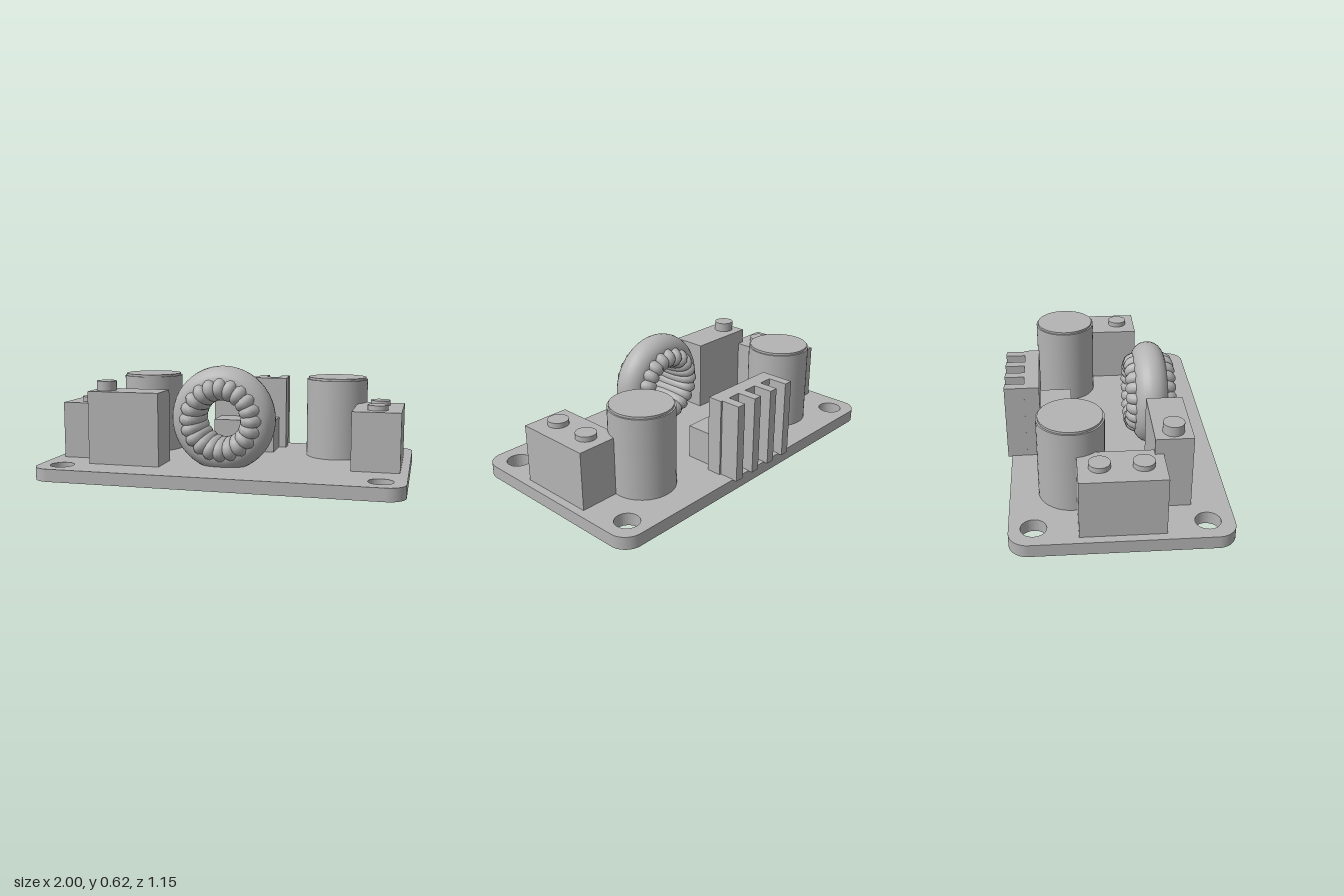
import * as THREE from 'three';

export function createModel() {
  const model = new THREE.Group();
  const grey = new THREE.MeshStandardMaterial({ color: 0xb4b4b4 });
  grey.name = 'light grey';

  const add = (name, geometry, x = 0, y = 0, z = 0, parent = model) => {
    const mesh = new THREE.Mesh(geometry, grey);
    mesh.name = name;
    mesh.position.set(x, y, z);
    parent.add(mesh);
    return mesh;
  };
  // Box given by its limits on each axis
  const box = (name, x0, x1, y0, y1, z0, z1) =>
    add(name, new THREE.BoxGeometry(x1 - x0, y1 - y0, z1 - z0), (x0 + x1) / 2, (y0 + y1) / 2, (z0 + z1) / 2);
  // Upright cylinder from y0 to y1
  const cylinder = (name, r, x, y0, y1, z) =>
    add(name, new THREE.CylinderGeometry(r, r, y1 - y0, 48), x, (y0 + y1) / 2, z);

  // Circuit board with rounded corners and four mounting holes
  const T = 0.07, back = -0.555, front = 0.575, r = 0.1;
  const outline = new THREE.Shape();
  outline.absarc(1 - r, -back - r, r, 0, Math.PI / 2);
  outline.absarc(-1 + r, -back - r, r, Math.PI / 2, Math.PI);
  outline.absarc(-1 + r, -front + r, r, Math.PI, Math.PI * 1.5);
  outline.absarc(1 - r, -front + r, r, Math.PI * 1.5, Math.PI * 2);
  for (const x of [-0.87, 0.87]) {
    for (const z of [-0.43, 0.44]) {
      const hole = new THREE.Path();
      hole.absarc(x, -z, 0.066, 0, Math.PI * 2, true);
      outline.holes.push(hole);
    }
  }
  const board = new THREE.ExtrudeGeometry(outline, { depth: T, bevelEnabled: false, curveSegments: 16 });
  board.rotateX(-Math.PI / 2);
  add('board', board);

  // Capacitors and screw terminals on both sides
  for (const s of [-1, 1]) {
    cylinder('capacitor', 0.175, s * 0.567, T, 0.52, -0.23);
    cylinder('capacitorCap', 0.166, s * 0.567, 0.52, 0.532, -0.23);
    const x = s * 0.826;
    box('terminalBlock', x - 0.13, x + 0.13, T, 0.39, -0.208, 0.225);
    for (const z of [-0.1, 0.117]) cylinder('terminalScrew', 0.055, x, 0.39, 0.418, z);
  }

  // Trimmer with its adjusting screw
  box('trimmer', -0.738, -0.33, T, 0.475, 0.18, 0.375);
  cylinder('trimmerScrew', 0.055, -0.663, 0.475, 0.528, 0.28);

  // Regulator chip and finned heat sink
  box('regulator', -0.176, 0.192, T, 0.257, -0.39, -0.21);
  box('heatSinkPlate', -0.22, 0.235, 0.066, 0.5, -0.47, -0.388);
  for (const x of [-0.195, -0.065, 0.067, 0.198]) {
    box('heatSinkFin', x - 0.026, x + 0.026, 0.066, 0.5, -0.577, -0.47);
  }

  // Toroidal coil: ring core with overlapping turns of thick wire
  const coil = new THREE.Group();
  coil.name = 'coil';
  coil.position.set(0, 0.33, 0.23);
  model.add(coil);
  add('coilCore', new THREE.TorusGeometry(0.2, 0.09, 24, 48), 0, 0, 0, coil);

  const loop = [];
  for (let i = 0; i < 16; i++) {
    const a = (i / 16) * Math.PI * 2;
    loop.push(new THREE.Vector3(0.17 + 0.035 * Math.cos(a), 0, 0.108 * Math.sin(a)));
  }
  const turn = new THREE.TubeGeometry(new THREE.CatmullRomCurve3(loop, true), 40, 0.035, 10, true);
  const turns = 20;
  for (let i = 0; i < turns; i++) {
    add('coilTurn', turn, 0, 0, 0, coil).rotation.z = (i / turns) * Math.PI * 2;
  }
  return model;
}
